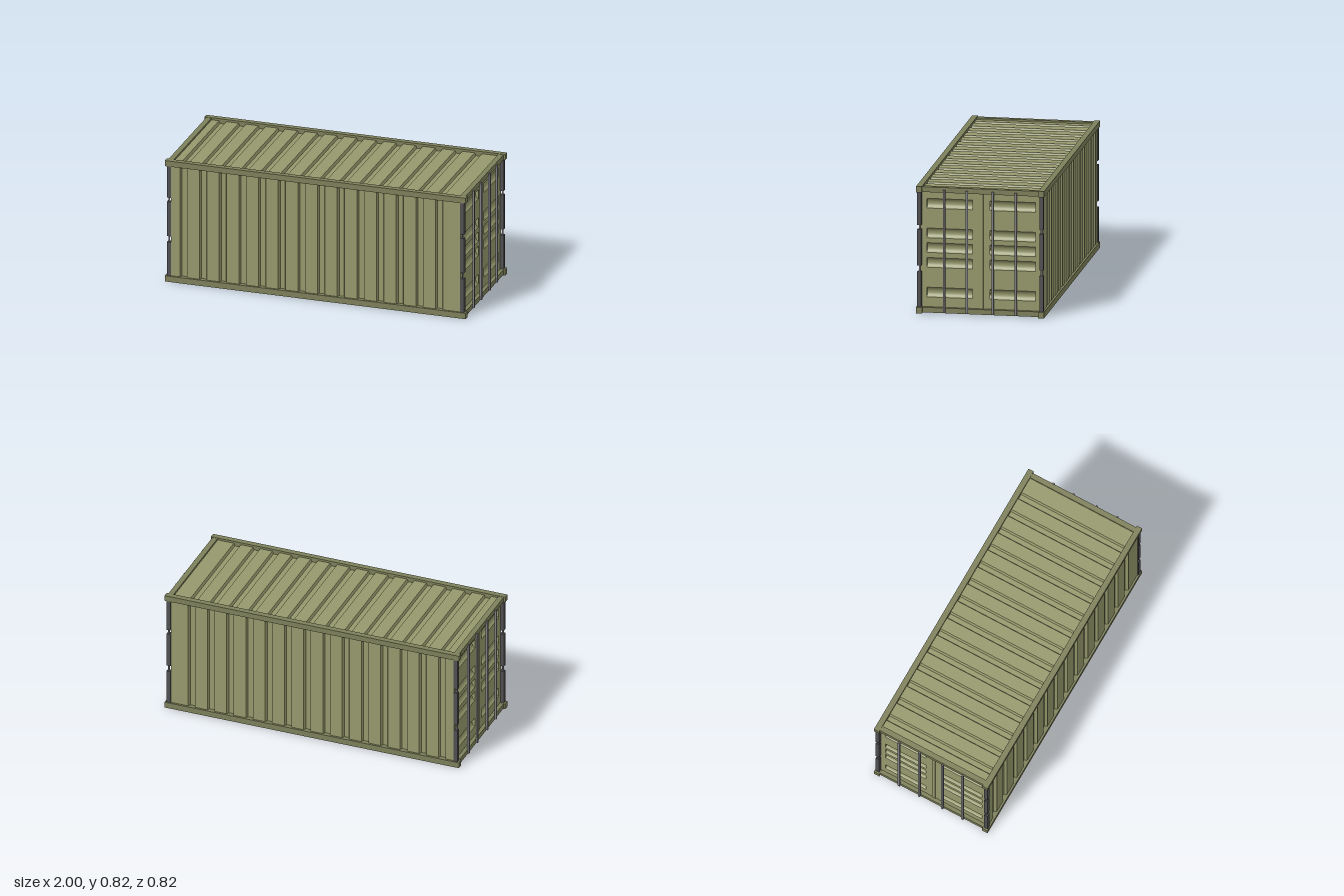
import * as THREE from 'three';

const paint = (color, side = THREE.FrontSide) => new THREE.MeshStandardMaterial({ color, side });

export function createModel() {
  const root = new THREE.Group();
  root.name = 'shippingContainer';
  const panel = paint(0x96996c), frame = paint(0x7d805a), dark = paint(0x505052);
  const steel = paint(0x807f84), scoopMat = paint(0x96996c, THREE.DoubleSide);

  const add = (parent, name, geo, mat, x = 0, y = 0, z = 0) => {
    const m = new THREE.Mesh(geo, mat);
    m.name = name;
    m.position.set(x, y, z);
    parent.add(m);
    return m;
  };
  const box = (parent, name, mat, w, h, d, x, y, z) =>
    add(parent, name, new THREE.BoxGeometry(w, h, d), mat, x, y, z);

  // Corrugated sheet: profile along x, ribs stand out along y, extruded along z
  const corrugated = (length) => {
    const end = 0.962, depth = 0.018, slope = 0.008, half = 0.024, pitch = 0.1308;
    const s = new THREE.Shape();
    s.moveTo(-end, -0.03);
    s.lineTo(end, -0.03);
    s.lineTo(end, 0);
    for (let i = 13; i >= 0; i--) {
      const c = -0.88 + i * pitch;
      s.lineTo(c + half, 0);
      s.lineTo(c + half - slope, -depth);
      s.lineTo(c - half + slope, -depth);
      s.lineTo(c - half, 0);
    }
    s.lineTo(-end, 0);
    s.closePath();
    return new THREE.ExtrudeGeometry(s, { depth: length, bevelEnabled: false }).translate(0, 0, -length / 2);
  };

  // Side walls, roof and floor
  add(root, 'frontWall', corrugated(0.75), panel, 0, 0.41, 0.397).rotation.x = Math.PI / 2;
  add(root, 'backWall', corrugated(0.75), panel, 0, 0.41, -0.397).rotation.x = -Math.PI / 2;
  add(root, 'roof', corrugated(0.76), panel, 0, 0.806, 0);
  box(root, 'floor', frame, 1.94, 0.025, 0.76, 0, 0.02, 0);

  // Long rails
  for (const z of [-1, 1]) {
    box(root, 'topSideRail', frame, 2, 0.037, 0.037, 0, 0.8015, z * 0.3915);
    box(root, 'bottomSideRail', frame, 2, 0.039, 0.039, 0, 0.0195, z * 0.3905);
  }

  // Door end, built facing +z and turned to each end
  const buildEnd = () => {
    const g = new THREE.Group();
    g.name = 'doorEnd';
    const face = 0.964, thick = 0.02, w = 0.293, h = 0.063, d = 0.018;
    const rows = [0.132, 0.324, 0.42, 0.515, 0.707];
    const columns = [-0.199, 0.203];

    // Door sheet with openings for the pressed grooves
    const sheet = new THREE.Shape();
    sheet.moveTo(-0.38, 0.03);
    sheet.lineTo(0.38, 0.03);
    sheet.lineTo(0.38, 0.79);
    sheet.lineTo(-0.38, 0.79);
    sheet.closePath();
    const R = (h * h / 4 + d * d) / (2 * d), a = Math.asin(h / 2 / R);
    const groove = new THREE.CylinderGeometry(R, R, w, 12, 1, true, Math.PI - a, 2 * a).rotateZ(Math.PI / 2);
    for (const x of columns) for (const y of rows) {
      const hole = new THREE.Path();
      hole.moveTo(x - w / 2, y - h / 2);
      hole.lineTo(x - w / 2, y + h / 2);
      hole.lineTo(x + w / 2, y + h / 2);
      hole.lineTo(x + w / 2, y - h / 2);
      hole.closePath();
      sheet.holes.push(hole);
      add(g, 'doorGroove', groove, scoopMat, x, y, face + R - d);
    }
    add(g, 'doors', new THREE.ExtrudeGeometry(sheet, { depth: thick, bevelEnabled: false }), panel, 0, 0, face - thick);
    box(g, 'doorSeam', panel, 0.024, 0.75, 0.006, 0.003, 0.41, face + 0.001);

    // Cross rails
    box(g, 'topEndRail', frame, 0.75, 0.034, 0.035, 0, 0.801, 0.971);
    box(g, 'bottomEndRail', frame, 0.75, 0.033, 0.035, 0, 0.0215, 0.971);

    // Corner posts in three lengths, joined by thin pins
    for (const s of [-1, 1]) {
      for (const [y0, y1] of [[0.038, 0.268], [0.307, 0.541], [0.569, 0.784]])
        box(g, 'cornerPost', dark, 0.025, y1 - y0, 0.026, s * 0.391, (y0 + y1) / 2, 0.975);
      add(g, 'hingePin', new THREE.CylinderGeometry(0.006, 0.006, 0.74, 10), steel, s * 0.389, 0.41, 0.978);
    }

    // Locking bars
    for (const x of [-0.231, -0.085, 0.081, 0.227])
      box(g, 'lockingBar', steel, 0.014, 0.793, 0.013, x, 0.406, 0.9935);
    return g;
  };
  for (const s of [-1, 1]) {
    const end = buildEnd();
    end.rotation.y = s * Math.PI / 2;
    root.add(end);
  }
  return root;
}
